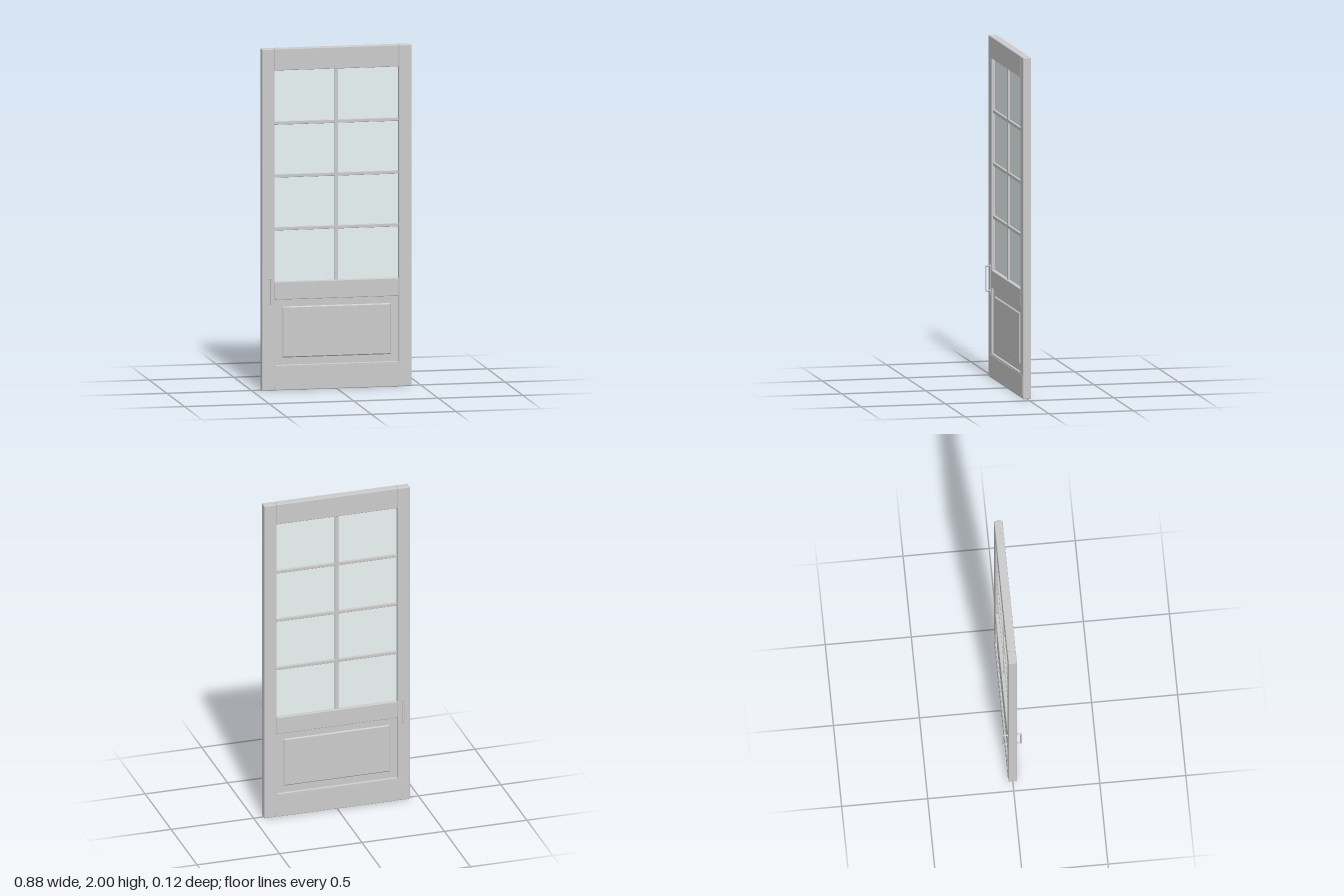
import * as THREE from 'three';
import { RoundedBoxGeometry } from 'three/addons/geometries/RoundedBoxGeometry.js';

const grey = new THREE.MeshStandardMaterial({ color: 0xcccccc });
const glass = new THREE.MeshStandardMaterial({ color: 0xeaf5f4 });

export function createModel() {
  const door = new THREE.Group();
  door.name = 'door';

  // Block given by its limits in x and y, and its centre and depth in z
  function block(name, x0, x1, y0, y1, depth, { z = 0, r = 0, material = grey } = {}) {
    const w = x1 - x0, h = y1 - y0;
    const geometry = r ? new RoundedBoxGeometry(w, h, depth, 2, r) : new THREE.BoxGeometry(w, h, depth);
    const mesh = new THREE.Mesh(geometry, material);
    mesh.name = name;
    mesh.position.set((x0 + x1) / 2, (y0 + y1) / 2, z);
    door.add(mesh);
    return mesh;
  }

  const depth = 0.049, inner = 0.367;
  const glassBottom = 0.635, glassTop = 1.873;

  // Frame: stiles and rails with softened edges
  block('leftStile', inner, 0.442, 0, 2, depth, { r: 0.005 });
  block('rightStile', -0.442, -inner, 0, 2, depth, { r: 0.005 });
  block('topRail', -inner, inner, glassTop, 2, depth, { r: 0.004 });
  block('lockRail', -inner, inner, 0.53, glassBottom, depth, { r: 0.004 });
  block('bottomRail', -inner, inner, 0, 0.147, depth, { r: 0.004 });

  // Glazing with one upright bar and three cross bars
  block('glass', -inner, inner, glassBottom - 0.005, glassTop + 0.005, 0.006, { material: glass });
  block('uprightGlazingBar', -0.01, 0.01, glassBottom - 0.003, glassTop + 0.003, 0.03, { r: 0.003 });
  for (let i = 1; i < 4; i++) {
    const y = glassBottom + ((glassTop - glassBottom) * i) / 4;
    for (const s of [-1, 1]) {
      const ends = [s * 0.008, s * inner].sort((a, b) => a - b);
      block('crossGlazingBar', ends[0], ends[1], y - 0.01, y + 0.01, 0.03, { r: 0.003 });
    }
  }

  // Lower panel with a raised, bevelled field on both faces
  block('lowerPanel', -inner, inner, 0.14, 0.535, 0.024);
  const fw = 0.315, fy0 = 0.195, fy1 = 0.482, bevel = 0.006;
  const field = new THREE.Shape([
    new THREE.Vector2(-fw, fy0), new THREE.Vector2(fw, fy0),
    new THREE.Vector2(fw, fy1), new THREE.Vector2(-fw, fy1),
  ]);
  const fieldGeometry = new THREE.ExtrudeGeometry(field, {
    depth: 0.026, bevelEnabled: true, bevelThickness: bevel, bevelSize: bevel, bevelSegments: 1,
  });
  fieldGeometry.translate(0, 0, -0.013);
  const raised = new THREE.Mesh(fieldGeometry, grey);
  raised.name = 'raisedField';
  door.add(raised);

  // Kick plate and pull handle on each face
  const hx = -0.392;
  for (const s of [1, -1]) {
    block('kickPlate', -0.42, 0.42, 0.02, 0.137, 0.003, { z: s * 0.0255 });
    block('handlePlate', -0.419, -0.382, 0.49, 0.668, 0.003, { z: s * 0.025 });
    block('handleGrip', hx - 0.005, hx + 0.005, 0.505, 0.66, 0.01, { z: s * 0.053, r: 0.003 });
    for (const y of [0.511, 0.654]) {
      const post = new THREE.Mesh(new THREE.CylinderGeometry(0.0045, 0.0045, 0.03, 16), grey);
      post.name = 'handlePost';
      post.rotation.x = Math.PI / 2;
      post.position.set(hx, y, s * 0.038);
      door.add(post);
    }
  }

  return door;
}
